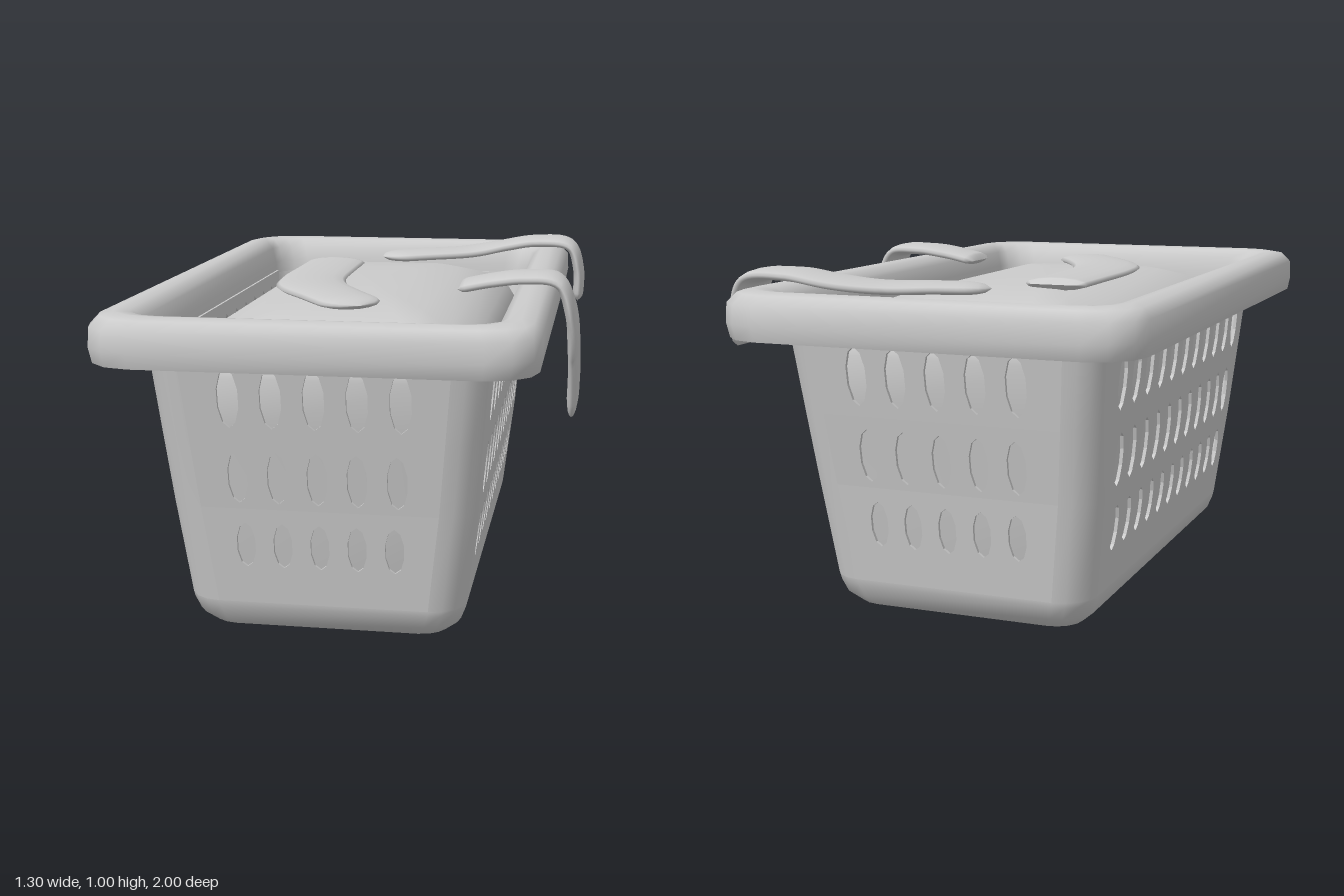
import * as THREE from 'three';
import { mergeGeometries } from 'three/addons/utils/BufferGeometryUtils.js';

const mat = new THREE.MeshStandardMaterial({ color: 0xcccccc, side: THREE.DoubleSide });
const R = 0.1, WALL = 0.01, ARC = 4;

// wall levels: [y, half width, half depth]
const levels = [[0.1, 0.4, 0.745], [0.39, 0.434, 0.788], [0.6, 0.453, 0.825], [0.84, 0.474, 0.867]];

function sizeAt(y) {
  let i = 0;
  while (i < levels.length - 2 && y > levels[i + 1][0]) i++;
  const [a, b] = [levels[i], levels[i + 1]];
  const t = (y - a[0]) / (b[0] - a[0]);
  return [a[1] + (b[1] - a[1]) * t, a[2] + (b[2] - a[2]) * t];
}

// quarter arc of a rounded rectangle
function arc(q, hx, hz, r, y, n) {
  const sx = q === 0 || q === 3 ? 1 : -1, sz = q < 2 ? 1 : -1;
  return Array.from({ length: n + 1 }, (_, i) => {
    const a = (q + i / n) * Math.PI / 2;
    return new THREE.Vector3(sx * (hx - r) + r * Math.cos(a), y, sz * (hz - r) + r * Math.sin(a));
  });
}

const ring = (hx, hz, r, y, n = ARC) => [0, 1, 2, 3].flatMap(q => arc(q, hx, hz, r, y, n));

// skin through a list of equal-length rings
function loft(rings, closed = true) {
  const n = rings[0].length, index = [];
  for (let i = 0; i < rings.length - 1; i++) {
    for (let j = 0; j < (closed ? n : n - 1); j++) {
      const k = (j + 1) % n;
      const a = i * n + j, b = a + n, c = i * n + k, d = c + n;
      index.push(a, b, c, c, b, d);
    }
  }
  const g = new THREE.BufferGeometry().setFromPoints(rings.flat());
  g.setIndex(index);
  g.computeVertexNormals();
  return g;
}

function add(group, name, geometry) {
  const m = new THREE.Mesh(geometry, mat);
  m.name = name;
  group.add(m);
  return m;
}

// one cell of a wall with a single oval hole
function wallCell(corners, u, { y, h, w }, depthAt) {
  const shape = new THREE.Shape(corners.map(p => new THREE.Vector2(...p)));
  shape.holes.push(new THREE.Path(Array.from({ length: 10 }, (_, k) => {
    const t = k / 10 * Math.PI * 2;
    return new THREE.Vector2(u + w / 2 * Math.sin(t), y + h / 2 * Math.cos(t));
  })));
  const g = new THREE.ExtrudeGeometry(shape, { depth: WALL, bevelEnabled: false });
  const p = g.attributes.position;
  for (let v = 0; v < p.count; v++) p.setZ(v, p.getZ(v) - WALL + depthAt(p.getY(v)));
  g.computeVertexNormals();
  return g;
}

// perforated wall: three rows of cells, the end cells reaching to the rounded corners
function wallPanel(across, out, count, rows) {
  const cells = rows.flatMap((row, i) => {
    const y0 = levels[i][0], y1 = levels[i + 1][0];
    const edge = (c, y) => c === 0 || c === count
      ? Math.sign(c - count / 2) * (sizeAt(y)[across] - R) : (c - count / 2) * row.spacing;
    return Array.from({ length: count }, (_, c) => wallCell(
      [[edge(c, y0), y0], [edge(c + 1, y0), y0], [edge(c + 1, y1), y1], [edge(c, y1), y1]],
      (c - (count - 1) / 2) * row.spacing, row, y => sizeAt(y)[out]));
  });
  return mergeGeometries(cells);
}

// flat sock: points are [x, y, z, tilt toward +x, half width], last point is the toe
function sock(points, thick = 0.019) {
  const path = new THREE.CatmullRomCurve3(points.map(p => new THREE.Vector3(p[0], p[1], p[2])));
  const extra = new THREE.CatmullRomCurve3(points.map(p => new THREE.Vector3(p[3], p[4], 0)));
  const start = path.getPoint(0), end = path.getPoint(1), N = 56;
  const round = d => d >= 1 ? 1 : Math.sqrt(Math.max(0, 1 - (1 - d) ** 2));
  const rings = [];
  for (let i = 0; i <= N; i++) {
    const t = i / N, p = path.getPoint(t), e = extra.getPoint(t), T = path.getTangent(t);
    const up = new THREE.Vector3(Math.sin(e.x), Math.cos(e.x), 0);
    const side = T.clone().cross(up).normalize();
    const normal = side.clone().cross(T).normalize();
    const toe = round(p.distanceTo(end) / 0.09), cuff = round(p.distanceTo(start) / 0.025);
    const w = e.y * toe * (0.75 + 0.25 * cuff), h = thick * Math.min(toe, cuff);
    rings.push(Array.from({ length: 14 }, (_, k) => {
      const a = k / 14 * Math.PI * 2;
      return p.clone().addScaledVector(side, w * Math.cos(a)).addScaledVector(normal, h * Math.sin(a));
    }));
  }
  return loft(rings);
}

export function createModel() {
  const model = new THREE.Group();
  model.name = 'laundryBasket';
  const basket = new THREE.Group();
  basket.name = 'basket';
  basket.position.x = -0.038;
  model.add(basket);

  // rounded base
  add(basket, 'base', loft([
    [0, 0, 0, 0], [0.3, 0.64, 0.06, 0], [0.345, 0.69, 0.08, 0.012],
    [0.382, 0.725, 0.095, 0.045], [0.397, 0.742, R, 0.085], [0.4, 0.745, R, 0.1],
  ].map(([x, z, r, y]) => ring(x, z, r, y))));

  // perforated walls
  const endWall = wallPanel(0, 1, 5, [
    { y: 0.28, h: 0.135, w: 0.055, spacing: 0.105 },
    { y: 0.485, h: 0.155, w: 0.058, spacing: 0.111 },
    { y: 0.715, h: 0.17, w: 0.062, spacing: 0.118 },
  ]);
  const sideWall = wallPanel(1, 0, 11, [
    { y: 0.28, h: 0.135, w: 0.066, spacing: 0.113 },
    { y: 0.485, h: 0.155, w: 0.07, spacing: 0.119 },
    { y: 0.715, h: 0.17, w: 0.076, spacing: 0.126 },
  ]);
  ['frontWall', 'leftWall', 'backWall', 'rightWall'].forEach((name, i) => {
    add(basket, name, i % 2 ? sideWall : endWall).rotation.y = i * Math.PI / 2;
  });

  // rounded wall corners
  for (let q = 0; q < 4; q++) {
    add(basket, 'wallCorner', loft(levels.map(([y, hx, hz]) => arc(q, hx, hz, R, y, ARC)), false));
  }

  // rolled rim, open underneath: [offset from wall, y]
  add(basket, 'rim', loft([
    [0, 0.82], [0.015, 0.9], [0.06, 0.925], [0.105, 0.91], [0.12, 0.86], [0.122, 0.817],
    [0.128, 0.817], [0.136, 0.86], [0.133, 0.915], [0.11, 0.942], [0.075, 0.95],
    [0.04, 0.945], [0.014, 0.92], [0, 0.87], [-0.003, 0.83],
  ].map(([o, y]) => ring(0.473 + o, 0.865 + o, R + o * 0.3, y, 3))));

  // heap of laundry with cut corners
  const heap = add(basket, 'laundryHeap', loft([
    [0.36, 0.68, 0.03], [0.38, 0.715, 0.12], [0.412, 0.765, 0.4], [0.417, 0.8, 0.6], [0.417, 0.836, 0.77],
    [0.39, 0.79, 0.825], [0.33, 0.69, 0.875], [0.24, 0.54, 0.91], [0.12, 0.3, 0.925], [0, 0, 0.928],
  ].map(([x, z, y]) => ring(x, z, Math.min(0.1, x * 0.3), y, 1))));
  heap.position.set(0.006, 0, 0.01);

  // socks
  const H = Math.PI / 2;
  add(model, 'topSock', sock([
    [-0.195, 0.933, -0.35, 0, 0.096], [-0.195, 0.933, -0.15, 0, 0.098], [-0.19, 0.933, 0.1, 0, 0.103],
    [-0.16, 0.933, 0.24, 0, 0.11], [-0.07, 0.933, 0.4, 0, 0.1], [0.04, 0.93, 0.565, 0, 0.094],
  ]));
  add(model, 'backSock', sock([
    [0.613, 0.77, -0.715, H, 0.088], [0.612, 0.88, -0.715, 1.4, 0.098], [0.58, 0.962, -0.715, 0.75, 0.1],
    [0.46, 0.975, -0.71, 0, 0.098], [0.34, 0.957, -0.695, -0.15, 0.1], [0.22, 0.94, -0.64, -0.05, 0.095],
    [0.08, 0.937, -0.57, 0, 0.088], [-0.065, 0.933, -0.505, 0, 0.085],
  ]));
  add(model, 'sideSock', sock([
    [0.285, 0.943, 0.225, -0.2, 0.09], [0.38, 0.963, 0.225, -0.2, 0.094], [0.48, 0.975, 0.222, 0, 0.096],
    [0.58, 0.965, 0.22, 0.7, 0.098], [0.617, 0.88, 0.21, 1.4, 0.1], [0.628, 0.76, 0.145, H, 0.1],
    [0.629, 0.64, 0.075, H, 0.096], [0.622, 0.525, 0.01, H, 0.09],
  ]));
  return model;
}
